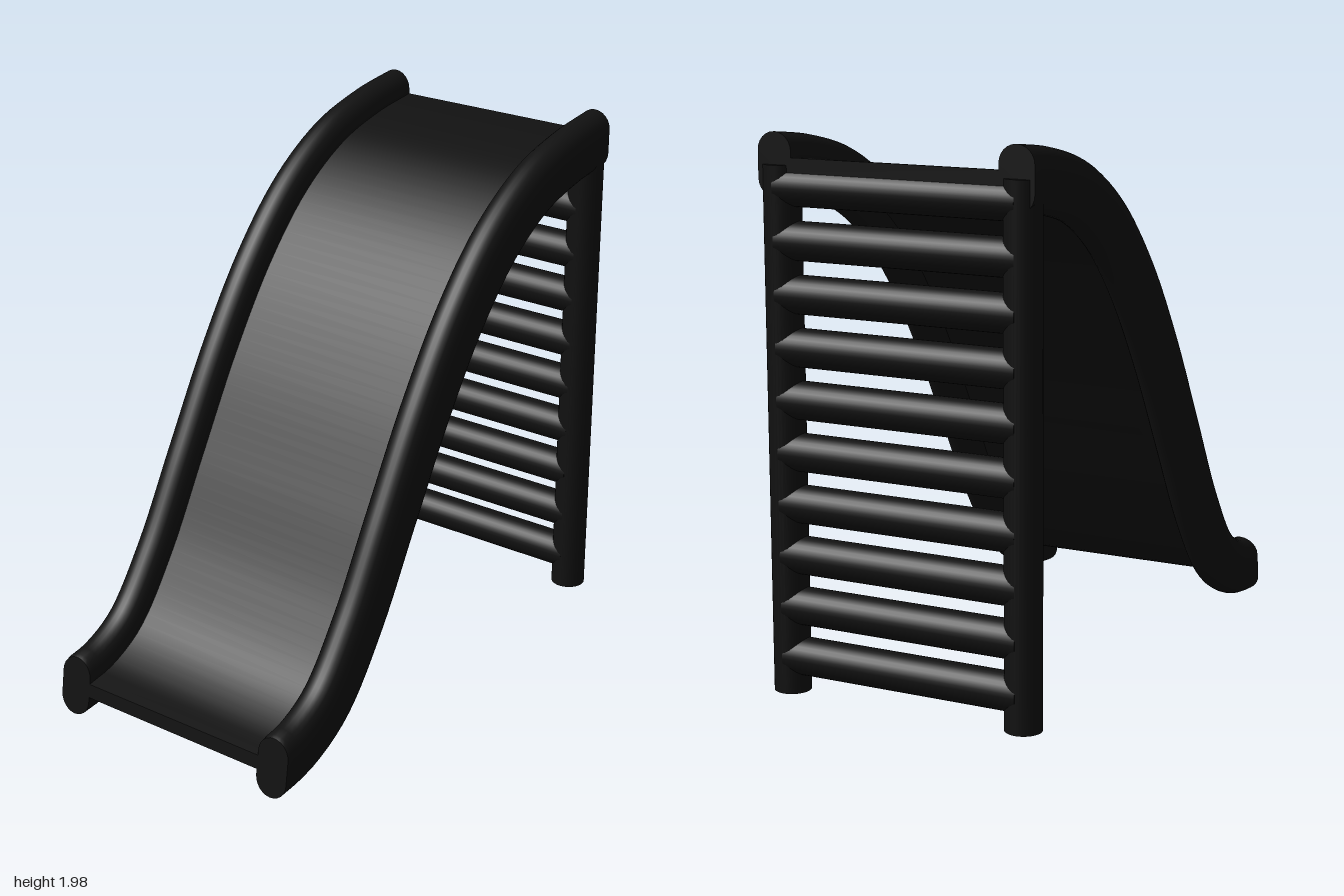
import * as THREE from 'three';
import { toCreasedNormals } from 'three/addons/utils/BufferGeometryUtils.js';

const material = new THREE.MeshStandardMaterial({ color: 0x111111 });
const RAIL_Z = 0.455;
const RADIUS = 0.065;
const STEPS = 64;

// Centre line of the slide, from the foot to the top
const path = new THREE.CatmullRomCurve3([
  [-0.978, 0.115], [-0.84, 0.14], [-0.675, 0.23], [-0.491, 0.461], [-0.295, 0.796],
  [-0.092, 1.14], [0.115, 1.43], [0.33, 1.646], [0.556, 1.781], [0.778, 1.843], [0.977, 1.87],
].map(([x, y]) => new THREE.Vector3(x, y, 0)), false, 'centripetal');

// Sweeps a convex section of [z, height] points along the slide path
function sweep(section) {
  const n = section.length;
  const positions = [];
  const index = [];
  for (let i = 0; i <= STEPS; i++) {
    const p = path.getPointAt(i / STEPS);
    const t = path.getTangentAt(i / STEPS);
    let nx = -t.y, ny = t.x;
    if (i === 0) { nx = 0.14; ny = 0.99; }      // foot end leans back
    if (i === STEPS) { nx = 0; ny = 1; }        // top end is cut upright
    for (const [z, h] of section) positions.push(p.x + nx * h, p.y + ny * h, z);
  }
  for (let i = 0; i < STEPS; i++) {
    for (let j = 0; j < n; j++) {
      const a = i * n + j, b = i * n + (j + 1) % n;
      index.push(a, a + n, b + n, a, b + n, b);
    }
  }
  const last = STEPS * n;
  for (let j = 1; j < n - 1; j++) {
    index.push(0, j, j + 1, last, last + j + 1, last + j);
  }
  const geometry = new THREE.BufferGeometry();
  geometry.setAttribute('position', new THREE.Float32BufferAttribute(positions, 3));
  geometry.setIndex(index);
  return toCreasedNormals(geometry, 0.7);
}

// Upright oblong section with round top and bottom
function railSection(zCentre) {
  const points = [];
  const half = 0.046;
  for (const side of [0, 1]) {
    for (let k = 0; k <= 12; k++) {
      const a = Math.PI * (side + k / 12);
      points.push([zCentre + RADIUS * Math.cos(a), (side ? -half : half) + RADIUS * Math.sin(a)]);
    }
  }
  return points;
}

export function createModel() {
  const group = new THREE.Group();
  const add = (name, geometry, x = 0, y = 0, z = 0) => {
    const mesh = new THREE.Mesh(geometry, material);
    mesh.name = name;
    mesh.position.set(x, y, z);
    group.add(mesh);
    return mesh;
  };

  // Sliding surface between the rails
  const w = 0.42, h = 0.026;
  add('slideBed', sweep([[w, -h], [w, h], [-w, h], [-w, -h]]));

  // Side rails and ladder posts
  const post = new THREE.CylinderGeometry(RADIUS, RADIUS, 1.84, 32);
  for (const [side, z] of [['left', -RAIL_Z], ['right', RAIL_Z]]) {
    add(side + 'Rail', sweep(railSection(z)));
    add(side + 'Post', post, 0.932, 0.95, z);
  }

  // Ladder rungs
  const rung = new THREE.CylinderGeometry(0.067, 0.067, 2 * RAIL_Z, 32).rotateX(Math.PI / 2);
  for (let i = 0; i < 10; i++) add('rung' + (i + 1), rung, 0.933, 0.157 + i * 0.182);

  return group;
}
